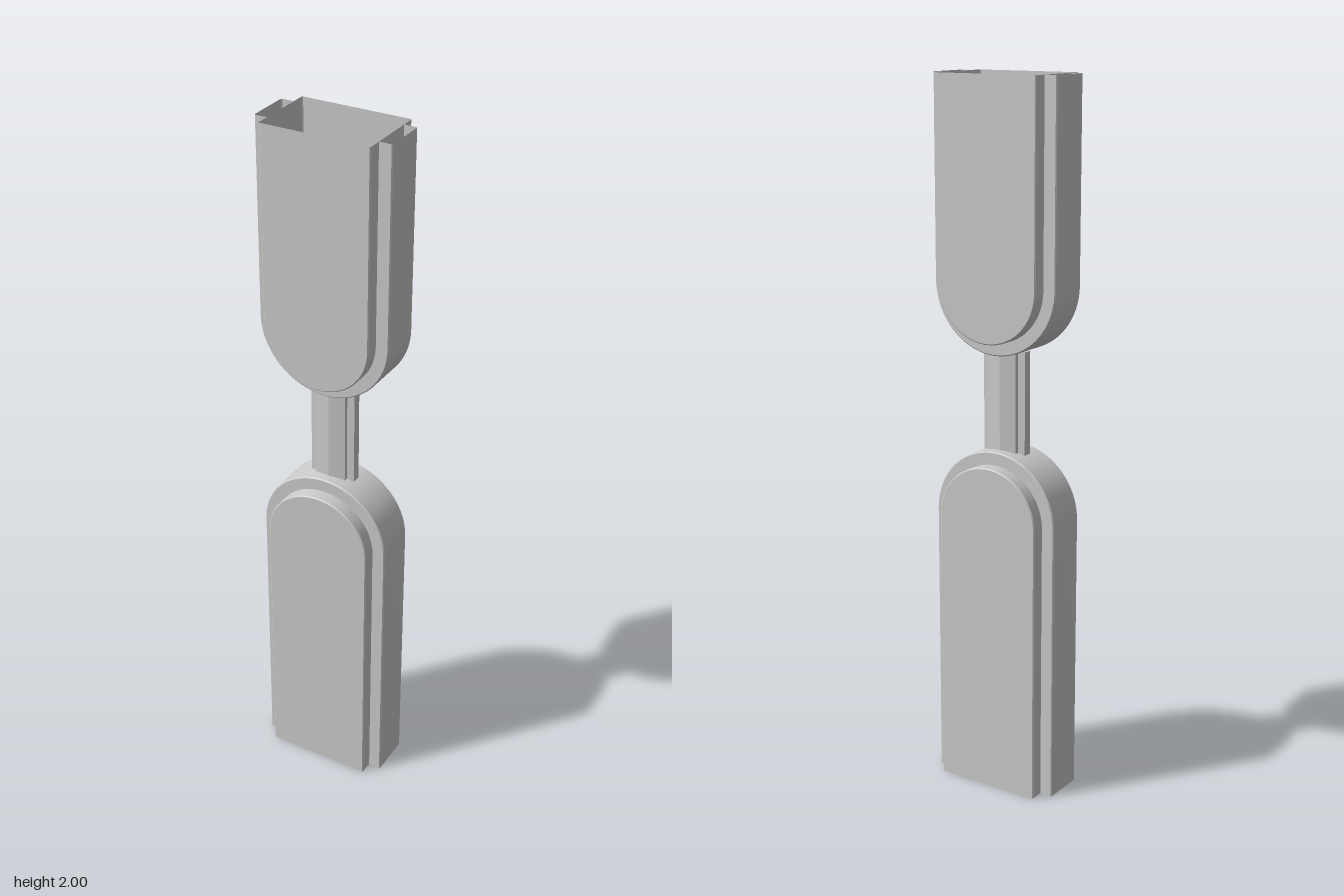
import * as THREE from 'three';
import { toCreasedNormals } from 'three/addons/utils/BufferGeometryUtils.js';

const material = new THREE.MeshStandardMaterial({ color: 0xcccccc, side: THREE.DoubleSide });

// Sweeps a profile of [offset, z] points along a U: straight side, half circle, straight side.
// dir = 1 puts the round end upwards, dir = -1 downwards.
function sweepU(profile, yEnd, yCentre, dir) {
  const stations = [[0, yEnd]];
  const steps = 48;
  for (let i = 0; i <= steps; i++) stations.push([Math.PI * i / steps, yCentre]);
  stations.push([Math.PI, yEnd]);

  const positions = [];
  for (const [a, y] of stations) {
    for (const [r, z] of profile) positions.push(r * Math.cos(a), y + dir * r * Math.sin(a), z);
  }
  const index = [];
  const n = profile.length;
  for (let u = 0; u < stations.length - 1; u++) {
    for (let v = 0; v < n - 1; v++) {
      const a = u * n + v, b = a + 1, c = a + n, d = c + 1;
      if (dir > 0) index.push(a, b, c, b, d, c);
      else index.push(a, c, b, b, c, d);
    }
  }
  const geometry = new THREE.BufferGeometry();
  geometry.setAttribute('position', new THREE.Float32BufferAttribute(positions, 3));
  geometry.setIndex(index);
  return toCreasedNormals(geometry, 0.5);
}

function addMesh(parent, name, geometry) {
  const mesh = new THREE.Mesh(geometry, material);
  mesh.name = name;
  parent.add(mesh);
  return mesh;
}

// Hollow casing, open at its straight end: a deep inner shell and a shallower band around it
function casing(name, yEnd, yCentre, dir) {
  const group = new THREE.Group();
  group.name = name;
  const shell = [[0, 0.103], [0.153, 0.103], [0.156, 0.1], [0.156, -0.1], [0.153, -0.103], [0, -0.103]];
  const band = [[0.156, 0.063], [0.19, 0.063], [0.193, 0.06], [0.193, -0.06], [0.19, -0.063], [0.156, -0.063]];
  addMesh(group, 'innerShell', sweepU(shell, yEnd, yCentre, dir));
  addMesh(group, 'outerBand', sweepU(band, yEnd, yCentre, dir));
  return group;
}

// Stepped connecting bar, extruded upwards
function connector() {
  const quarter = [[0.067, 0.013], [0.046, 0.015], [0.046, 0.027], [0, 0.036]];
  const upper = [...quarter, ...quarter.slice(0, 3).reverse().map(([x, z]) => [-x, z])];
  const outline = [...upper, ...upper.map(([x, z]) => [-x, -z])].filter(
    ([x, z], i, all) => i === 0 || x !== all[i - 1][0] || z !== all[i - 1][1]);
  const shape = new THREE.Shape(outline.map(([x, z]) => new THREE.Vector2(x, z)));
  const geometry = new THREE.ExtrudeGeometry(shape, { depth: 0.29, bevelEnabled: false });
  geometry.rotateX(-Math.PI / 2);
  geometry.translate(0, 0.975, 0);
  return geometry;
}

export function createModel() {
  const model = new THREE.Group();
  model.name = 'linkedCasings';
  model.add(casing('lowerCasing', 0, 0.793, 1));
  model.add(casing('upperCasing', 2, 1.449, -1));
  addMesh(model, 'connectingBar', connector());
  return model;
}
